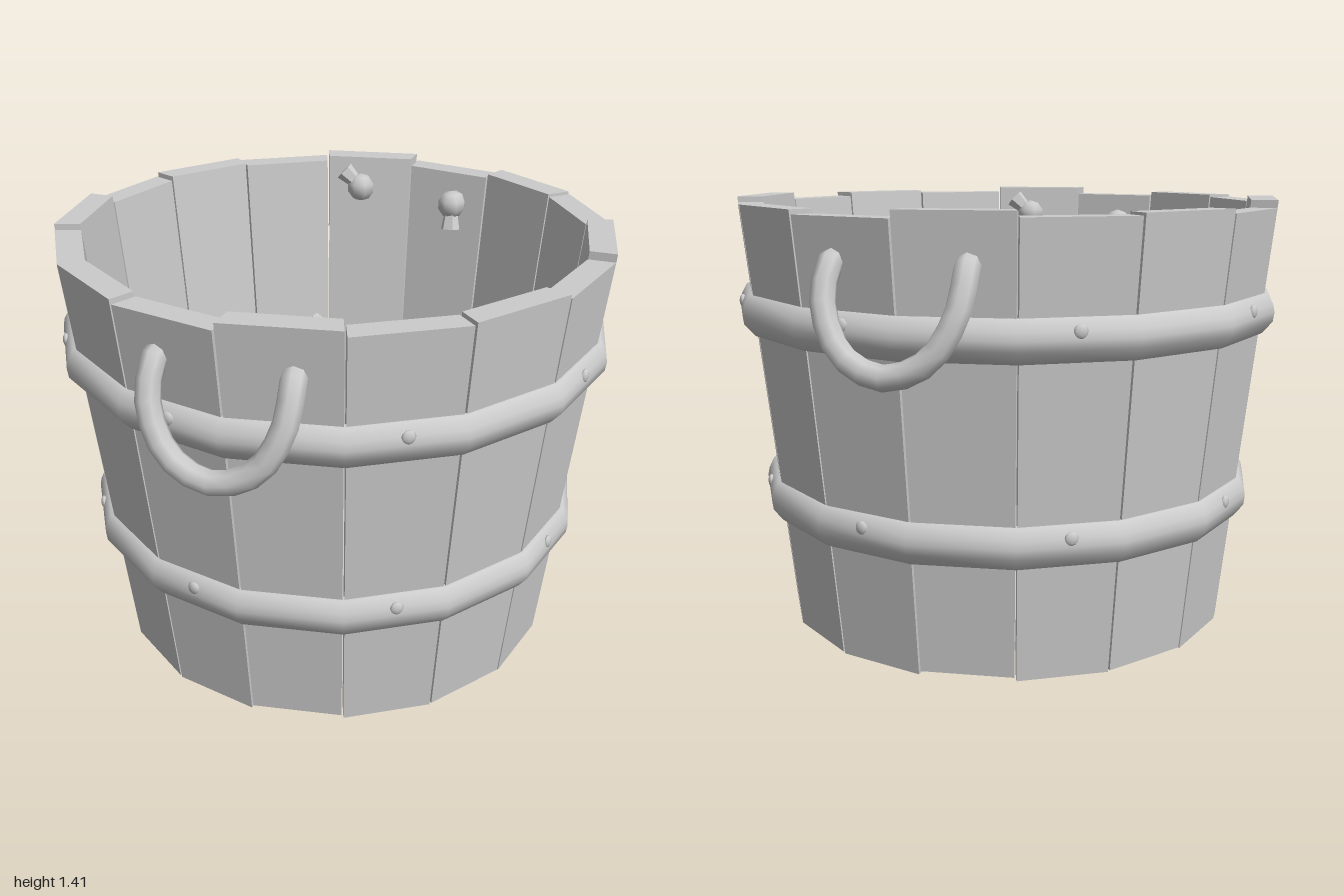
import * as THREE from 'three';

const SIDES = 16;
const STEP = (Math.PI * 2) / SIDES;
const HEIGHT = 1.4;
const V = (x, y, z) => new THREE.Vector3(x, y, z);

const smooth = new THREE.MeshStandardMaterial({ color: 0xcccccc });
const flat = new THREE.MeshStandardMaterial({ color: 0xcccccc, flatShading: true });

// Wall radii widen with height
const outerR = (y) => 0.755 + (0.15 * y) / HEIGHT;
const innerR = (y) => 0.69 + (0.13 * y) / HEIGHT;

function part(name, geometry, material) {
  const mesh = new THREE.Mesh(geometry, material);
  mesh.name = name;
  return mesh;
}

// One tapered plank: a box whose corners are moved onto the wall
function staveGeometry(angle, bottom, top) {
  const geo = new THREE.BoxGeometry(1, 1, 1);
  const p = geo.attributes.position;
  for (let i = 0; i < p.count; i++) {
    const a = angle + Math.sign(p.getX(i)) * (STEP / 2 - 0.004);
    const y = p.getY(i) > 0 ? top : bottom;
    const r = p.getZ(i) > 0 ? outerR(y) : innerR(y);
    p.setXYZ(i, Math.sin(a) * r, y, Math.cos(a) * r);
  }
  geo.computeVertexNormals();
  return geo;
}

// Bulged metal band with rivets on every other stave
function makeHoop(name, y, topR, midR, bottomR) {
  const hoop = new THREE.Group();
  hoop.name = name;
  const profile = [
    [bottomR - 0.03, y - 0.062], [bottomR, y - 0.064], [midR - 0.004, y - 0.025],
    [midR, y + 0.005], [midR - 0.005, y + 0.03], [topR, y + 0.066], [topR - 0.03, y + 0.064],
  ].map(([r, h]) => new THREE.Vector2(r, h));
  hoop.add(part('band', new THREE.LatheGeometry(profile, SIDES), smooth));
  const rivetR = (midR - 0.006) * Math.cos(STEP / 2);
  for (let i = 0; i < SIDES / 2; i++) {
    const a = STEP * (1.5 + 2 * i);
    const rivet = part('rivet', new THREE.SphereGeometry(0.022, 8, 6), smooth);
    rivet.position.set(Math.sin(a) * rivetR, y + 0.028, Math.cos(a) * rivetR);
    rivet.rotation.y = a;
    rivet.scale.z = 0.5;
    hoop.add(rivet);
  }
  return hoop;
}

// Knot inside the wall: a faceted ball with a flared rope end
function makeKnot(ball, tail) {
  const knot = new THREE.Group();
  knot.name = 'knot';
  const lump = part('knotBall', new THREE.SphereGeometry(0.052, 7, 5), smooth);
  lump.position.copy(ball);
  const dir = tail.clone().sub(ball);
  const end = part('ropeEnd', new THREE.CylinderGeometry(0.036, 0.02, dir.length(), 6), flat);
  end.position.copy(ball).add(tail).multiplyScalar(0.5);
  end.quaternion.setFromUnitVectors(V(0, 1, 0), dir.normalize());
  knot.add(lump, end);
  return knot;
}

// Hanging rope loop whose ends pass through the wall
function makeHandle(name) {
  const handle = new THREE.Group();
  handle.name = name;
  const half = [
    V(0.19, 1.29, 0.74), V(0.205, 1.265, 0.845), V(0.21, 1.235, 0.875),
    V(0.2, 1.13, 0.92), V(0.13, 1.01, 0.95),
  ];
  const mirrored = half.map((p) => V(-p.x, p.y, p.z)).reverse();
  const path = new THREE.CurvePath();
  const points = [...half, V(0, 0.958, 0.962), ...mirrored];
  for (let i = 1; i < points.length; i++) path.add(new THREE.LineCurve3(points[i - 1], points[i]));
  const curve = new THREE.CatmullRomCurve3(points, false, 'centripetal');
  handle.add(part('rope', new THREE.TubeGeometry(curve, 18, 0.038, 8), smooth));
  handle.add(makeKnot(V(0.17, 1.31, 0.73), V(0.235, 1.37, 0.72)));
  handle.add(makeKnot(V(-0.19, 1.28, 0.73), V(-0.195, 1.19, 0.71)));
  return handle;
}

export function createModel() {
  const bucket = new THREE.Group();
  bucket.name = 'bucket';

  // Staves with slightly uneven ends
  const staves = new THREE.Group();
  staves.name = 'staves';
  const tops = [1.41, 1.392, 1.4, 1.386];
  const bottoms = [0.012, 0, 0.004, 0];
  for (let i = 0; i < SIDES; i++) {
    const geo = staveGeometry((i + 0.5) * STEP, bottoms[i % 4], tops[i % 4]);
    staves.add(part('stave', geo, flat));
  }
  bucket.add(staves);

  // Recessed floor
  const floor = part('floor', new THREE.CylinderGeometry(0.703, 0.7, 0.03, SIDES), flat);
  floor.position.y = 0.09;
  bucket.add(floor);

  // Hoops
  bucket.add(makeHoop('upperHoop', 1.053, 0.886, 0.91, 0.872));
  bucket.add(makeHoop('lowerHoop', 0.437, 0.82, 0.842, 0.808));

  // Front and back handles
  const back = makeHandle('backHandle');
  back.rotation.y = Math.PI;
  bucket.add(makeHandle('frontHandle'), back);

  return bucket;
}
